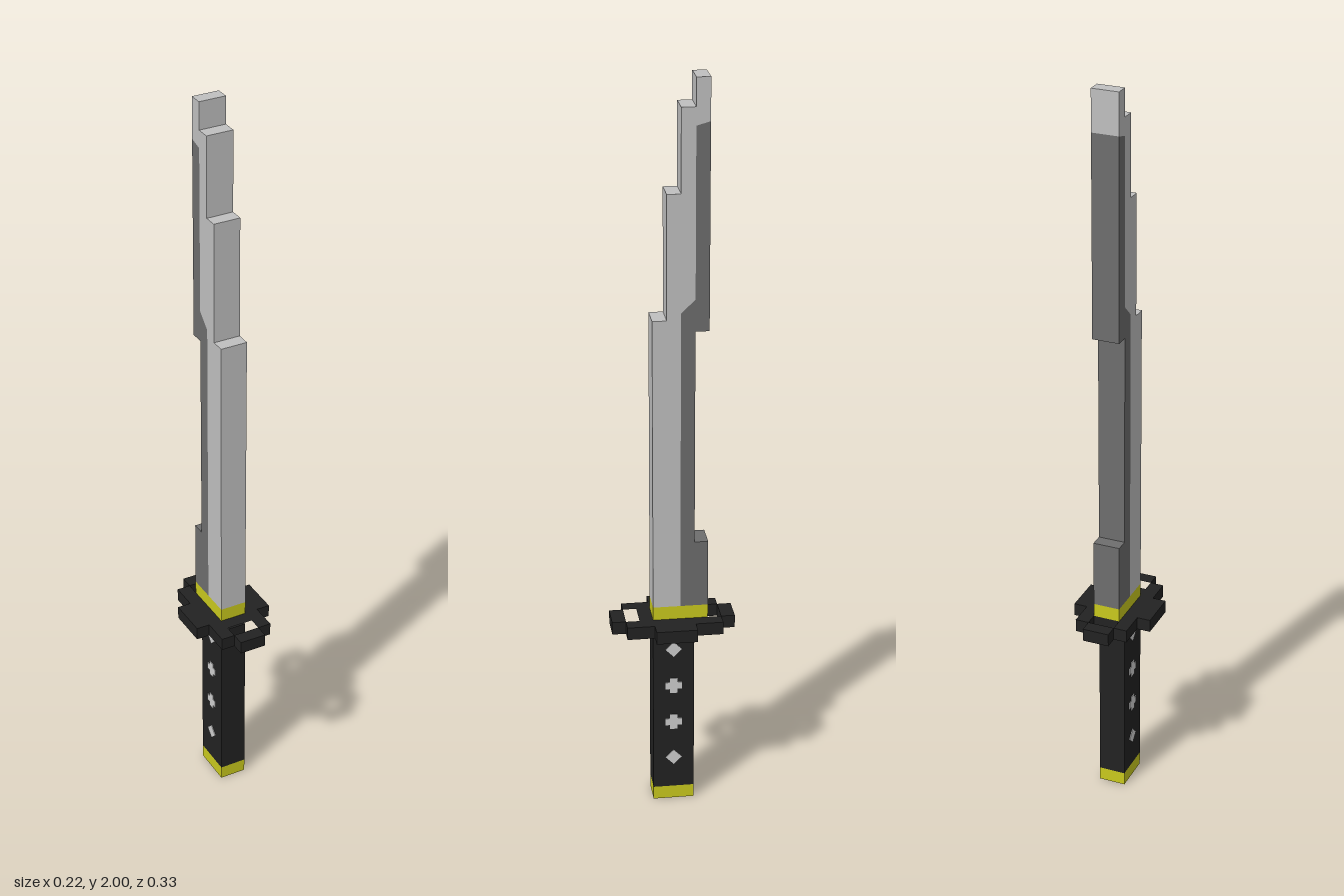
import * as THREE from 'three';

const material = (name, color) => {
  const m = new THREE.MeshStandardMaterial({ color });
  m.name = name;
  return m;
};

export function createModel() {
  const steel = material('light steel', 0xc0c0c0);
  const darkSteel = material('dark steel', 0x6e6e6e);
  const black = material('black', 0x222222);
  const gold = material('gold', 0xcaca1e);
  const stud = material('stud grey', 0xd0d0d0);

  const U = 0.0364; // width of one stepped unit
  const group = new THREE.Group();
  group.name = 'sword';

  const add = (name, geometry, mat) => {
    const mesh = new THREE.Mesh(geometry, mat);
    mesh.name = name;
    group.add(mesh);
    return mesh;
  };

  // Box given by its y and z ranges, one unit to each side of the middle
  const block = (name, y0, y1, z0, z1, mat) => {
    const g = new THREE.BoxGeometry(2 * U, y1 - y0, z1 - z0);
    g.translate(0, (y0 + y1) / 2, (z0 + z1) / 2);
    return add(name, g, mat);
  };

  const outline = (pts) => new THREE.Shape(pts.map(([a, b]) => new THREE.Vector2(a, b)));

  // Side profile (distance towards the back, height) extruded across x
  const profile = (pts, width) => {
    const g = new THREE.ExtrudeGeometry(outline(pts), { depth: width, bevelEnabled: false });
    g.translate(0, 0, -width / 2);
    return g.rotateY(Math.PI / 2);
  };

  // Grip with its end cap and the collar under the blade
  block('pommel', 0, 0.037, -0.055, 0.055, gold);
  block('grip', 0.037, 0.511, -0.055, 0.055, black);
  block('collar', 0.546, 0.583, -0.091, 0.055, gold);

  // Stepped guard with two open slots
  const quarter = [[1, 4.5], [1, 3.5], [2, 3.5], [2, 1.5], [3, 1.5]];
  const back = [...quarter].reverse();
  const guardShape = outline([
    ...quarter,
    ...back.map(([x, z]) => [x, -z]),
    ...quarter.map(([x, z]) => [-x, -z]),
    ...back.map(([x, z]) => [-x, z]),
  ].map(([x, z]) => [x * U, z * U]));
  for (const s of [-1, 1]) {
    // kept just clear of the outline's inner corners
    const w = 0.995 * U, a = 2.5 * U * s, b = 3.49 * U * s;
    guardShape.holes.push(outline([[-w, a], [w, a], [w, b], [-w, b]]));
  }
  const guard = new THREE.ExtrudeGeometry(guardShape, { depth: 0.035, bevelEnabled: false });
  guard.rotateX(-Math.PI / 2).translate(0, 0.511, 0);
  add('guard', guard, black);

  // Blade: light stepped edge and dark notched spine
  add('bladeEdge', profile([
    [-0.055, 0.583], [0.018, 0.583], [0.018, 1.40], [0.055, 1.435], [0.055, 1.88],
    [0.091, 1.89], [0.091, 2], [0.055, 2], [0.055, 1.927], [0.018, 1.927],
    [0.018, 1.71], [-0.018, 1.71], [-0.018, 1.382], [-0.055, 1.382],
  ], 2 * U), steel);
  add('bladeSpine', profile([
    [0.018, 0.583], [0.091, 0.583], [0.091, 0.767], [0.055, 0.767], [0.055, 1.35],
    [0.091, 1.35], [0.091, 1.89], [0.055, 1.88], [0.055, 1.435], [0.018, 1.40],
  ], 2 * U), darkSteel);

  // Studs on both sides of the grip: diamonds at the ends, crosses between
  const r = 0.022, c = 0.01;
  const diamond = [[r, 0], [0, r], [-r, 0], [0, -r]];
  const cross = [
    [r, -c], [r, c], [c, c], [c, r], [-c, r], [-c, c],
    [-r, c], [-r, -c], [-c, -c], [-c, -r], [c, -r], [c, -c],
  ];
  [0.128, 0.237, 0.347, 0.456].forEach((y, i) => {
    for (const s of [-1, 1]) {
      const g = profile(i === 0 || i === 3 ? diamond : cross, 0.004);
      add('gripStud', g, stud).position.set(s * U, y, 0);
    }
  });

  return group;
}
